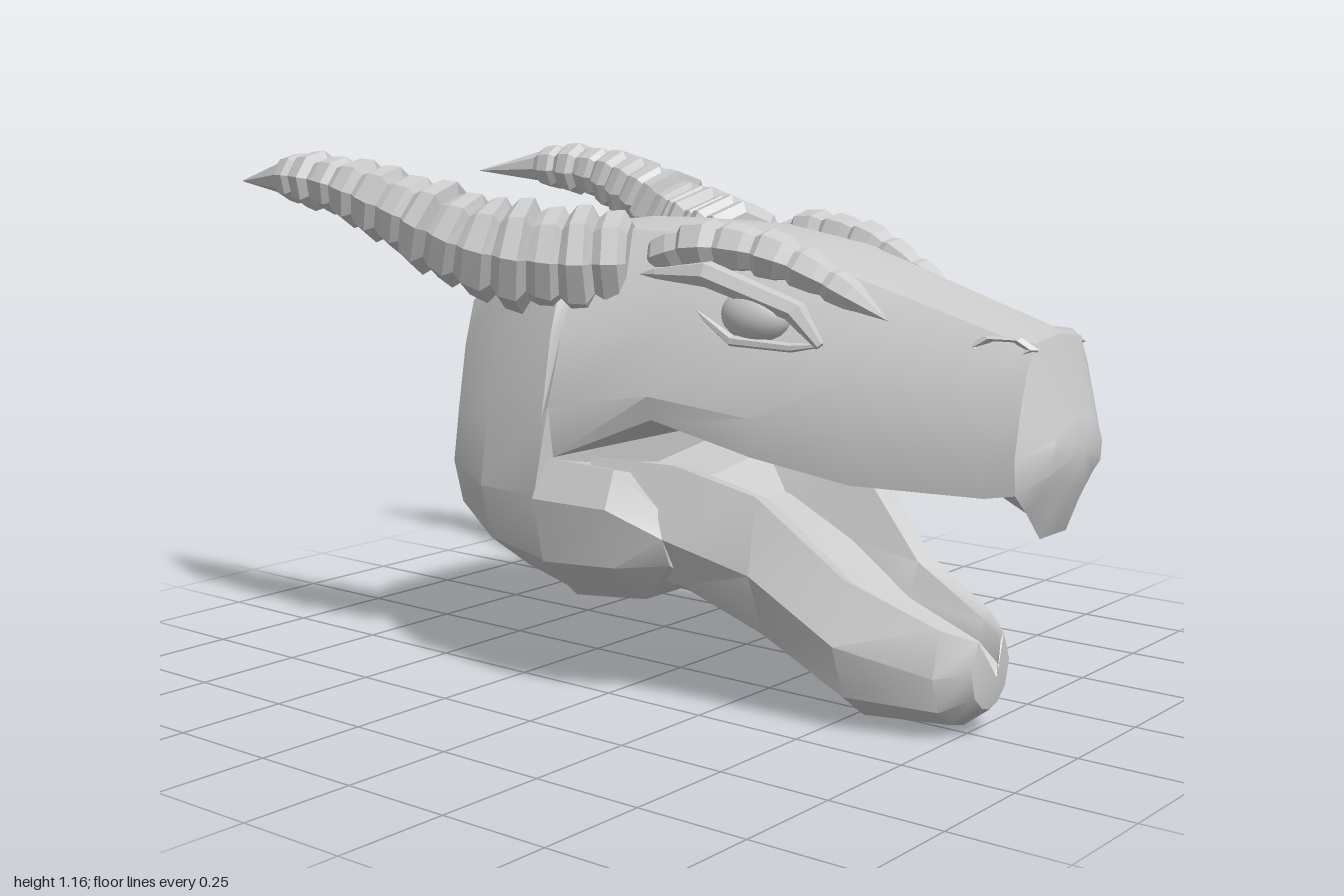
import * as THREE from 'three';
import { toCreasedNormals } from 'three/addons/utils/BufferGeometryUtils.js';

const material = new THREE.MeshStandardMaterial({ color: 0xcccccc, side: THREE.DoubleSide });
const flatMaterial = new THREE.MeshStandardMaterial({ color: 0xcccccc, flatShading: true, side: THREE.DoubleSide });
const mix = THREE.MathUtils.lerp;

// Closed skin over rings of Vector3, with fan caps at both ends
function skin(rings, startTip, endTip) {
  const n = rings[0].length, pos = [], index = [];
  rings.flat().concat(startTip, endTip).forEach(p => pos.push(p.x, p.y, p.z));
  const start = rings.length * n, last = start - n;
  for (let j = 0; j < n; j++) {
    const k = (j + 1) % n;
    for (let i = 0; i < rings.length - 1; i++) {
      const a = i * n + j, b = i * n + k;
      index.push(a, b, a + n, b, b + n, a + n);
    }
    index.push(start, k, j, start + 1, last + j, last + k);
  }
  const g = new THREE.BufferGeometry();
  g.setAttribute('position', new THREE.Float32BufferAttribute(pos, 3));
  g.setIndex(index);
  return g;
}

// Half outlines, listed from top centre round to bottom centre
const muzzle = (z, top, flat, wide, wideY, lip, roof) => ({ z, half: [
  [0, top], [flat, top - .012], [mix(flat, wide, .45), mix(top, wideY, .3)],
  [mix(flat, wide, .75), mix(top, wideY, .62)], [wide, wideY], [wide * .96, lip],
  [wide * .68, mix(lip, roof, .4)], [wide * .33, roof], [0, roof]] });

const cranium = (z, top, flat, wide, mid, bottom) => ({ z, half: [
  [0, top], [flat, top - .015], [mix(flat, wide, .5), mix(top, mid, .18)],
  [mix(flat, wide, .7), mix(top, mid, .4)], [mix(flat, wide, .87), mix(top, mid, .72)],
  [wide, mid], [wide * .92, mix(mid, bottom, .6)], [wide * .62, bottom], [0, bottom]] });

const cheek = (z, top, wide, mid, bottom) => ({ z, half: [
  [0, top - .06], [wide * .7, top - .02], [wide * .92, top], [wide, mid],
  [wide * .92, mix(mid, bottom, .6)], [wide * .65, bottom], [0, bottom]] });

const jaw = (z, floor, rim, rimY, wide, wideY, bottom) => ({ z, half: [
  [0, floor], [rim * .55, mix(floor, rimY, .15)], [rim * .76, rimY - .015], [rim, rimY], [wide, wideY],
  [wide * .8, mix(wideY, bottom, .6)], [wide * .4, mix(wideY, bottom, .9)], [0, bottom]] });

// Symmetric loft from front to back through mirrored half outlines
function loft(name, sections, startTip, endTip, crease) {
  const rings = sections.map(({ z, half }) => {
    const right = half.map(([x, y]) => new THREE.Vector3(x, y, z));
    const left = half.slice(1, -1).reverse().map(([x, y]) => new THREE.Vector3(-x, y, z));
    return right.concat(left);
  });
  const g = skin(rings, new THREE.Vector3(0, ...startTip), new THREE.Vector3(0, ...endTip));
  const mesh = new THREE.Mesh(toCreasedNormals(g, crease), material);
  mesh.name = name;
  return mesh;
}

// Ringed horn: overlapping flared collars along a path, ending in a plain spike
function ringedHorn(name, path, radii, collars, spikeStart, sides, side) {
  const curve = new THREE.CatmullRomCurve3(path.map(([x, y, z]) => new THREE.Vector3(x * side, y, z)));
  const frames = curve.computeFrenetFrames(100);
  const radiusAt = u => {
    const f = u * (radii.length - 1), i = Math.min(Math.floor(f), radii.length - 2);
    return mix(radii[i], radii[i + 1], f - i);
  };
  const rings = [];
  const addRing = (u, scale) => {
    const c = curve.getPointAt(u), k = Math.round(u * 100), r = radiusAt(u) * scale;
    rings.push(Array.from({ length: sides }, (_, j) => {
      const a = j / sides * Math.PI * 2;
      return c.clone().addScaledVector(frames.normals[k], r * Math.cos(a))
        .addScaledVector(frames.binormals[k], r * Math.sin(a));
    }));
  };
  const step = spikeStart / collars;
  for (let i = 0; i < collars; i++) {
    const swell = 1 + 0.06 * Math.sin(i * 2.4);
    addRing(i * step, 0.83);
    addRing((i + 0.2) * step, 1.05 * swell);
    addRing((i + 0.7) * step, swell);
  }
  addRing(spikeStart, 0.75);
  const mesh = new THREE.Mesh(skin(rings, curve.getPointAt(0), curve.getPointAt(1)), flatMaterial);
  mesh.name = name;
  return mesh;
}

export function createModel() {
  const model = new THREE.Group();
  model.name = 'hornedReptileHead';

  // Snout, upper jaw and cranium in one skin; the underside drops at the mouth corner
  model.add(loft('upperHead', [
    muzzle(.978, .68, .05, .1, .62, .58, .54),
    muzzle(.93, .835, .09, .16, .61, .54, .44),
    muzzle(.87, .845, .1, .175, .61, .53, .54),
    muzzle(.6, .925, .12, .23, .63, .53, .57),
    muzzle(.4, .985, .15, .285, .65, .57, .61),
    muzzle(.18, 1.015, .18, .335, .68, .63, .63),
    muzzle(-.06, 1.02, .2, .37, .64, .53, .53),
    cranium(-.08, 1.02, .2, .395, .45, .21),
    cranium(-.25, 1, .2, .38, .45, .25),
    cranium(-.39, .91, .18, .32, .48, .32),
    cranium(-.44, .82, .13, .24, .53, .4),
  ], [.62, .995], [.62, -.47], .5));

  // Blocky jaw hinge below the mouth corner
  model.add(loft('cheeks', [
    cheek(.2, .42, .31, .38, .28),
    cheek(.1, .52, .375, .44, .225),
    cheek(-.08, .53, .4, .445, .21),
  ], [.32, .2], [.35, -.08], .55));

  // Lower jaw: trough floor, inner rim, outer rim, flank and keel
  model.add(loft('lowerJaw', [
    jaw(.8, .14, .05, .21, .075, .15, .06),
    jaw(.74, .17, .1, .235, .125, .14, .015),
    jaw(.55, .22, .16, .32, .2, .19, 0),
    jaw(.38, .3, .23, .48, .255, .32, .1),
    jaw(.2, .38, .27, .53, .31, .38, .2),
    jaw(0, .43, .3, .53, .34, .4, .22),
  ], [.13, .815], [.4, 0], .6));

  const hornPath = [[.2, .94, .03], [.275, .94, -.1], [.36, .965, -.25], [.41, 1.03, -.42],
    [.437, 1.085, -.6], [.428, 1.1, -.78], [.395, 1.085, -1]];
  const browPath = [[.205, .95, .1], [.2, .98, .22], [.175, .965, .38], [.155, .91, .52], [.15, .85, .64]];
  const upperLidPath = [[.225, .8, .53], [.238, .88, .46], [.248, .92, .36], [.26, .93, .24], [.262, .92, .1]];
  const lowerLidPath = [[.228, .8, .52], [.247, .79, .42], [.262, .8, .34], [.268, .86, .25]];

  for (const side of [1, -1]) {
    const label = side > 0 ? 'left' : 'right';
    model.add(ringedHorn(label + 'Horn', hornPath, [.1, .115, .113, .1, .084, .067, .058, .047, .03], 13, .82, 8, side));
    model.add(ringedHorn(label + 'BrowRidge', browPath, [.04, .056, .052, .045, .036, .022], 6, .88, 7, side));
    model.add(ringedHorn(label + 'UpperEyelid', upperLidPath, [.012, .028, .03, .026, .01], 1, .9, 6, side));
    model.add(ringedHorn(label + 'LowerEyelid', lowerLidPath, [.006, .012, .012, .006], 1, .9, 6, side));

    // Eyeball
    const eye = new THREE.Mesh(new THREE.SphereGeometry(.07, 20, 14), material);
    eye.name = label + 'Eye';
    eye.position.set(.225 * side, .85, .375);
    eye.scale.set(.75, .8, 1.15);
    model.add(eye);

    // Nostril rim
    const nostril = new THREE.Mesh(new THREE.TorusGeometry(.028, .008, 4, 6), flatMaterial);
    nostril.name = label + 'Nostril';
    nostril.position.set(.108 * side, .812, .87);
    nostril.scale.set(2, .7, 1);
    nostril.rotation.y = side * 1.35;
    model.add(nostril);
  }
  return model;
}
